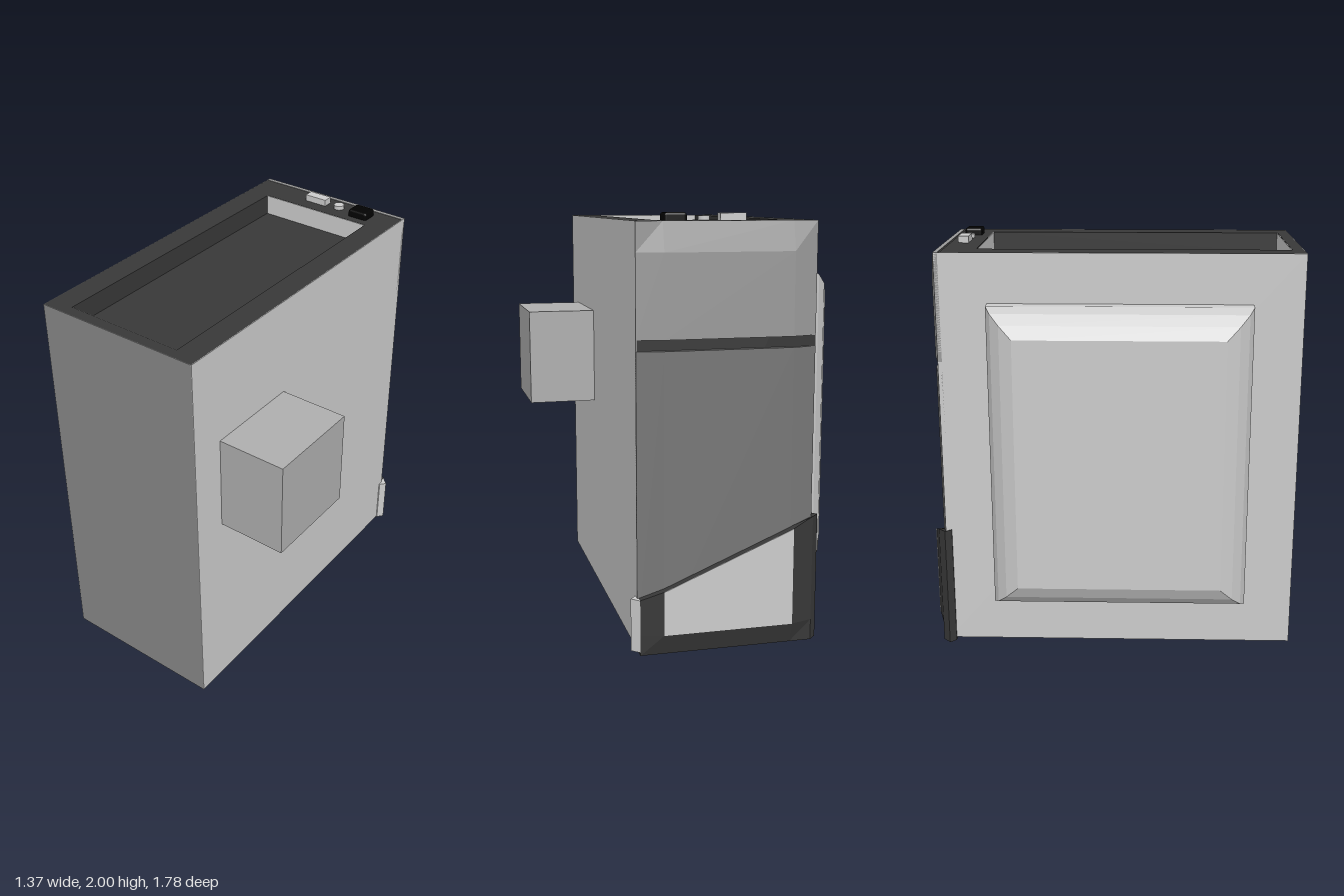
import * as THREE from 'three';
import { RoundedBoxGeometry } from 'three/addons/geometries/RoundedBoxGeometry.js';

const paint = color => new THREE.MeshStandardMaterial({ color, flatShading: true });
const light = paint(0xbebebe), blockGrey = paint(0xaeaeae), dark = paint(0x383838), black = paint(0x020202);
const rearGrey = paint(0x878787), upperGrey = paint(0x999999), lowerGrey = paint(0x767676);

// Closed solid through rings of equal length, each counterclockwise seen from the last ring's side
function loft(rings) {
  const pos = [];
  const tri = (a, b, c) => pos.push(...a, ...b, ...c);
  const n = rings[0].length;
  for (let k = 0; k + 1 < rings.length; k++) {
    for (let i = 0; i < n; i++) {
      const j = (i + 1) % n, p = rings[k], q = rings[k + 1];
      tri(p[i], p[j], q[j]);
      tri(p[i], q[j], q[i]);
    }
  }
  const first = rings[0], last = rings[rings.length - 1];
  for (let i = 1; i + 1 < n; i++) {
    tri(first[0], first[i + 1], first[i]);
    tri(last[0], last[i], last[i + 1]);
  }
  const g = new THREE.BufferGeometry();
  g.setAttribute('position', new THREE.Float32BufferAttribute(pos, 3));
  g.computeVertexNormals();
  return g;
}

// Box given by its minimum and maximum corners
function block([x0, y0, z0], [x1, y1, z1]) {
  return new THREE.BoxGeometry(x1 - x0, y1 - y0, z1 - z0)
    .translate((x0 + x1) / 2, (y0 + y1) / 2, (z0 + z1) / 2);
}

// Plan outline raised to a height (number or function of x), optionally cut off at a front z
function plan(outline, y, zFront = -9) {
  return outline.map(([x, z]) => [x, typeof y === 'function' ? y(x) : y, Math.max(z, zFront)]);
}

export function createModel() {
  const model = new THREE.Group();
  const add = (name, geometry, material) => {
    const mesh = new THREE.Mesh(geometry, material);
    mesh.name = name;
    model.add(mesh);
  };

  const L = -0.495, R = 0.342, top = 1.965, recess = 0.1, skin = 0.003;

  // Dark chassis, with a rim around the sunken top
  add('chassis', block([L + skin, 0.015, -0.79], [R - skin, top - recess, 0.882]), dark);
  const rim = new THREE.Shape([[L + skin, -0.882], [R - skin, -0.882], [R - skin, 0.79], [L + skin, 0.79]]
    .map(p => new THREE.Vector2(...p)));
  rim.holes.push(new THREE.Path([[-0.375, -0.83], [-0.375, 0.635], [0.22, 0.635], [0.22, -0.83]]
    .map(p => new THREE.Vector2(...p))));
  add('topRim', new THREE.ExtrudeGeometry(rim, { depth: recess, bevelEnabled: false })
    .rotateX(-Math.PI / 2).translate(0, top - recess, 0), dark);

  // Light liners on the two short walls of the recess
  for (const z of [-0.635, 0.83 - skin]) {
    add('recessLiner', block([-0.375, top - recess, z], [0.22, top - 0.001, z + skin]), light);
  }

  // Thin covers on both sides and on the +z face
  for (const x of [L, R - skin]) {
    add('sideCover', block([x, 0.015, -0.82], [x + skin, top, 0.885]), light);
  }
  add('endCover', block([L + skin, 0.015, 0.882], [R - skin, top, 0.885]), rearGrey);

  // Fascia: dark backing plate and two chamfered panels with a slot between them
  add('fasciaBacking', block([L + skin, 0.015, -0.82], [R - skin, top - 0.002, -0.79]), dark);
  const panel = [[R, -0.8], [R, -0.82], [0.22, -0.85], [-0.38, -0.85], [L, -0.82], [L, -0.8]];
  add('upperPanel', loft([plan(panel, 1.45), plan(panel, 1.83), plan(panel, top, -0.821)]), upperGrey);
  add('lowerPanel', loft([plan(panel, 0.1), plan(panel, 1.4)]), lowerGrey);

  // Dark foot bezel with a sloping top edge and a bevelled bottom
  const bezel = [[0.335, -0.79], [0.335, -0.855], [0.23, -0.887],
    [-0.385, -0.887], [-0.49, -0.855], [-0.525, -0.82], [-0.5, -0.79]];
  const slope = x => 0.265 + 0.412 * (0.335 - THREE.MathUtils.clamp(x, -0.49, 0.335));
  add('footBezel', loft([plan(bezel, 0, -0.855), plan(bezel, 0.1), plan(bezel, slope)]), dark);

  // Light wing at the low end of the bezel and light plate on its flat
  const wing = [[0.335, -0.79], [0.347, -0.79], [0.372, -0.82], [0.335, -0.855]];
  add('bezelWing', loft([plan(wing, 0.015), plan(wing, 0.265)]), light);
  const plate = [[0.23, -0.885], [0.23, -0.89], [-0.385, -0.89], [-0.385, -0.885]];
  add('bezelPlate', loft([plan(plate, 0.1), plan(plate, slope)]), light);

  // Bulging side panel: rectangles shrinking outward along a rounded edge
  const bulge = [[L + 0.002, 0], [-0.555, 0], [-0.61, 0.025], [-0.655, 0.07], [-0.685, 0.13]];
  add('sideBulge', loft(bulge.map(([x, d]) => [
    [x, 0.25 + d, -0.58 + d], [x, 0.25 + d, 0.65 - d],
    [x, 1.73 - d, 0.65 - d], [x, 1.73 - d, -0.58 + d],
  ])), light);

  // Block on the other side
  add('sideBlock', block([R - 0.002, 1, 0.225], [0.68, 1.48, 0.71]), blockGrey);

  // Controls on the top edge
  add('powerButton', new RoundedBoxGeometry(0.105, 0.06, 0.085, 3, 0.012)
    .translate(0.147, 1.97, -0.718), black);
  add('roundButton', new THREE.CylinderGeometry(0.026, 0.026, 0.04, 24)
    .translate(0.01, 1.965, -0.725), light);
  add('topPort', block([-0.18, 1.95, -0.752], [-0.06, 1.997, -0.702]), light);

  return model;
}
